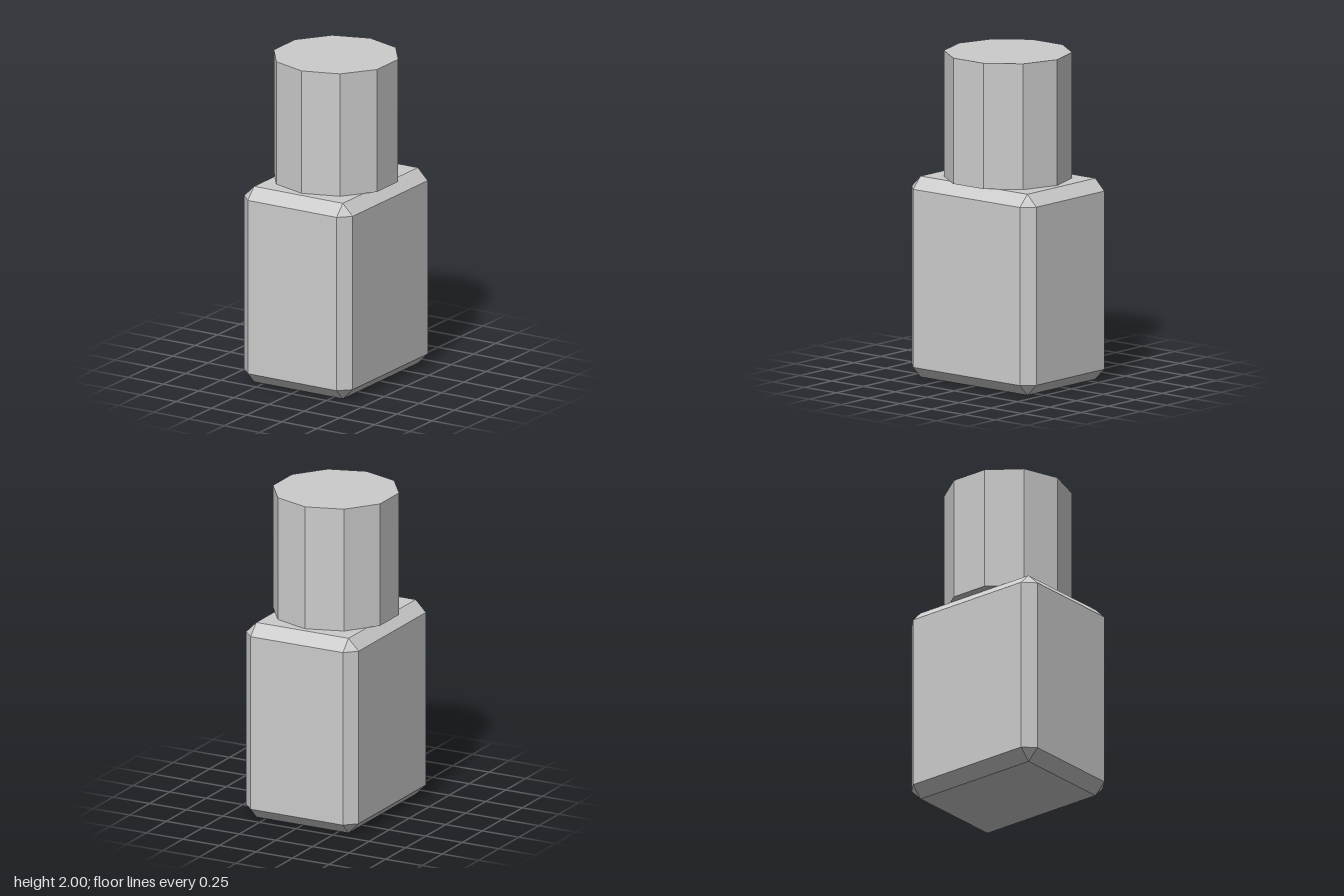
import * as THREE from 'three';
import { ConvexGeometry } from 'three/addons/geometries/ConvexGeometry.js';

// Box with every edge cut at 45 degrees; hx, hy, hz are half sizes
function chamferedBox(hx, hy, hz, c) {
  const points = [];
  for (const x of [-1, 1]) for (const y of [-1, 1]) for (const z of [-1, 1]) {
    points.push(
      new THREE.Vector3(x * hx, y * (hy - c), z * (hz - c)),
      new THREE.Vector3(x * (hx - c), y * hy, z * (hz - c)),
      new THREE.Vector3(x * (hx - c), y * (hy - c), z * hz),
    );
  }
  return new ConvexGeometry(points);
}

export function createModel() {
  const group = new THREE.Group();
  group.name = 'bottle';

  const grey = new THREE.MeshStandardMaterial({ color: 0xcccccc, flatShading: true });
  grey.name = 'light grey';

  // Chamfered bottle body
  const body = new THREE.Mesh(chamferedBox(0.385, 0.615, 0.49, 0.07), grey);
  body.name = 'body';
  body.position.y = 0.615;

  // Ten-sided cap, corners pointing to front and back
  const cap = new THREE.Mesh(new THREE.CylinderGeometry(0.385, 0.385, 0.77, 10), grey);
  cap.name = 'cap';
  cap.position.y = 1.615;

  group.add(body, cap);
  return group;
}
